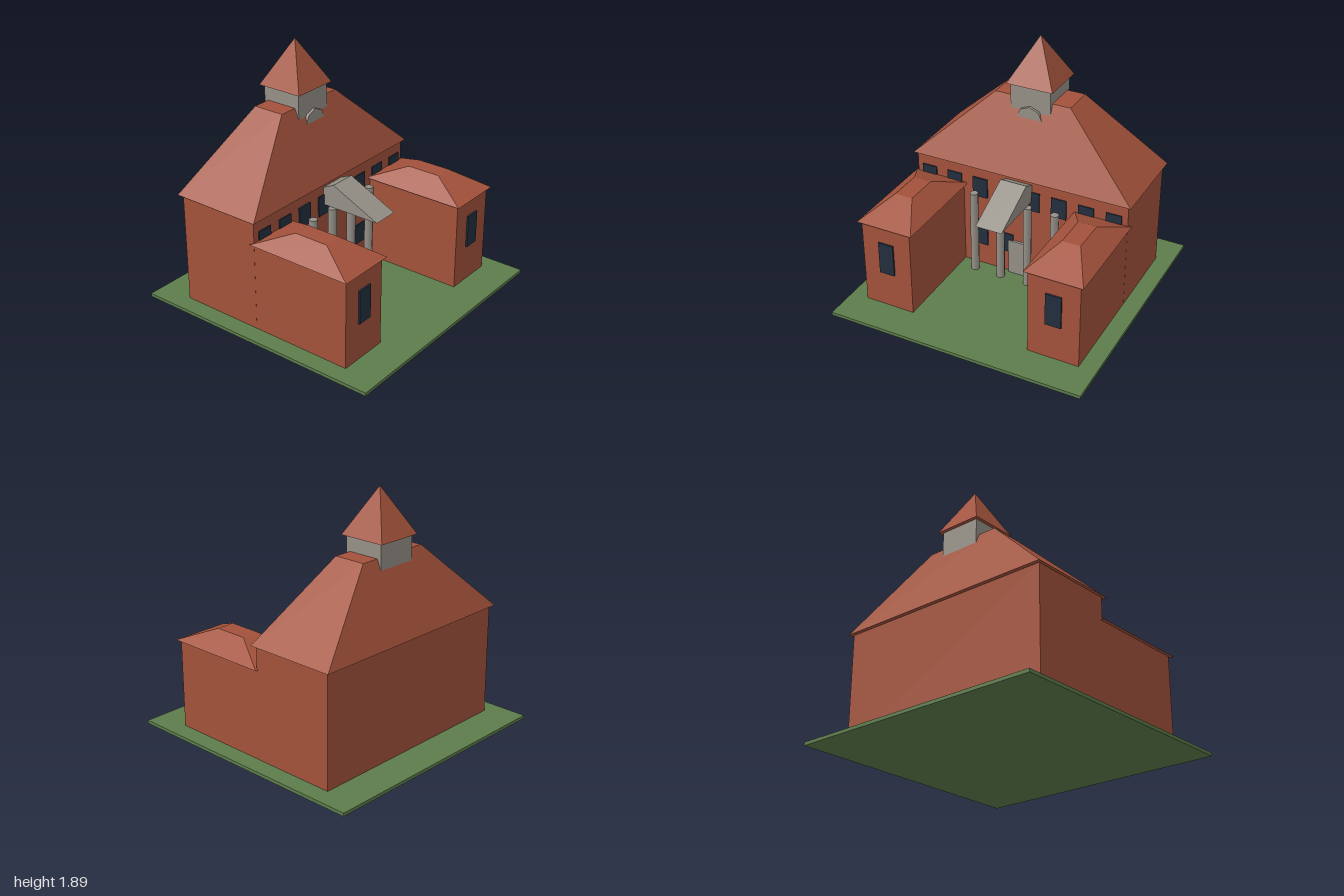
import * as THREE from 'three';

const material = (name, color) => {
  const m = new THREE.MeshStandardMaterial({ color });
  m.name = name;
  return m;
};

export function createModel() {
  const brick = material('brick red', 0xa3523b);
  const stone = material('stone grey', 0x959087);
  const grass = material('grass green', 0x5d7c4b);
  const glass = material('dark glass', 0x222f3e);

  const group = new THREE.Group();
  const add = (name, geometry, mat, x = 0, y = 0, z = 0) => {
    const mesh = new THREE.Mesh(geometry, mat);
    mesh.name = name;
    mesh.position.set(x, y, z);
    group.add(mesh);
    return mesh;
  };

  // Box given by its extents on each axis
  const block = (name, mat, [x0, x1], [y0, y1], [z0, z1]) =>
    add(name, new THREE.BoxGeometry(x1 - x0, y1 - y0, z1 - z0), mat,
      (x0 + x1) / 2, (y0 + y1) / 2, (z0 + z1) / 2);

  // Hipped roof: a box whose top is drawn in to a flat ridge
  const hipRoof = (name, width, height, depth, topWidth, topDepth, x, y, z) => {
    const geometry = new THREE.BoxGeometry(width, height, depth);
    const p = geometry.attributes.position;
    for (let i = 0; i < p.count; i++) {
      if (p.getY(i) > 0) {
        p.setX(i, Math.sign(p.getX(i)) * topWidth / 2);
        p.setZ(i, Math.sign(p.getZ(i)) * topDepth / 2);
      }
    }
    geometry.computeVertexNormals();
    return add(name, geometry, brick, x, y + height / 2, z);
  };

  // Lawn
  block('lawn', grass, [-1, 1], [0, 0.025], [-1, 1]);

  // Main hall
  block('mainWalls', brick, [-0.865, 0.865], [0.025, 0.88], [-0.73, -0.065]);
  hipRoof('mainRoof', 1.78, 0.55, 0.72, 0.605, 0.25, 0, 0.88, -0.4);

  // Side wings with a window in each front wall
  for (const [side, s] of [['left', 1], ['right', -1]]) {
    const x = s * 0.666;
    block(side + 'WingWalls', brick, [x - 0.198, x + 0.198], [0.025, 0.71], [-0.065, 0.73]);
    hipRoof(side + 'WingRoof', 0.45, 0.122, 0.84, 0.14, 0.265, x, 0.708, 0.335);
    block(side + 'WingWindow', glass, [x - 0.061, x + 0.061], [0.312, 0.57], [0.735, 0.743]);
    block(side + 'WingWindowBack', glass, [x - 0.061, x + 0.061], [0.312, 0.57], [0.728, 0.736]);
  }

  // Upper and lower rows of windows on the hall front
  const hallWindow = (name, x, y) =>
    block(name, glass, [x - 0.061, x + 0.061], [y - 0.08, y + 0.08], [-0.0615, -0.052]);
  for (let i = 0; i < 8; i++) hallWindow('upperWindow', (i - 3.5) * 0.217, 0.71);
  for (const x of [-0.325, -0.108, 0.325]) hallWindow('lowerWindow', x, 0.285);
  block('windowBacking', glass, [-0.385, -0.265], [0.63, 0.79], [-0.066, -0.061]);

  // Door
  block('door', stone, [-0.08, 0.077], [0.025, 0.315], [-0.07, -0.045]);

  // Columns
  for (const x of [-0.333, -0.112, 0.112, 0.333]) {
    add('column', new THREE.CylinderGeometry(0.033, 0.033, 0.682, 8), stone, x, 0.366, 0.025);
  }

  // Portico gable, sloping to the front and back
  const gable = new THREE.Shape([
    new THREE.Vector2(-0.36, 0.708),
    new THREE.Vector2(0.42, 0.708),
    new THREE.Vector2(0.03, 0.89),
  ]);
  const gableGeometry = new THREE.ExtrudeGeometry(gable, { depth: 0.21, bevelEnabled: false });
  gableGeometry.translate(0, 0, -0.105).rotateY(-Math.PI / 2);
  add('porticoRoof', gableGeometry, stone);

  // Tower with a round panel and a pyramid spire
  block('tower', stone, [-0.16, 0.16], [1.2, 1.545], [-0.558, -0.24]);
  const panel = new THREE.CylinderGeometry(0.105, 0.105, 0.022, 8).rotateX(Math.PI / 2);
  add('towerPanel', panel, stone, 0, 1.285, -0.229);
  const spire = new THREE.ConeGeometry(0.185 * Math.SQRT2, 0.345, 4).rotateY(Math.PI / 4).toNonIndexed();
  spire.computeVertexNormals();
  add('spire', spire, brick, 0, 1.7155, -0.4);

  return group;
}
